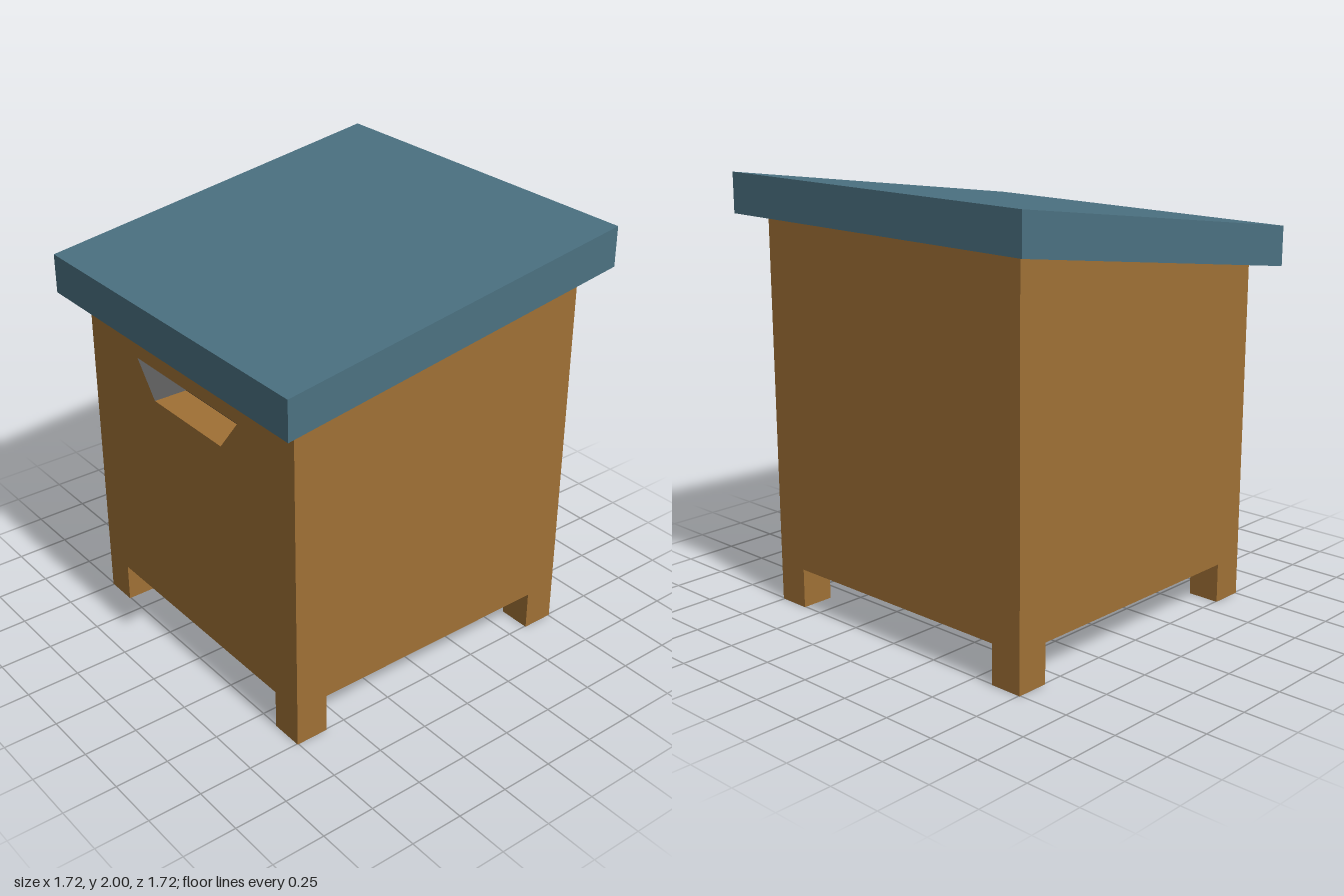
import * as THREE from 'three';

const SLOPE = 0.1453;     // roof rise towards the back
const HALF = 0.755;       // half width of the body
const FLOOR = 0.185;      // underside of the body
const EAVE = 1.6925;      // roof underside at z = 0
const LEG = 0.155;

function material(name, color) {
  const m = new THREE.MeshStandardMaterial({ color });
  m.name = name;
  return m;
}

function mesh(name, geometry, mat, parent) {
  const m = new THREE.Mesh(geometry, mat);
  m.name = name;
  parent.add(m);
  return m;
}

// Flat four-cornered face, corners counter-clockwise seen from its front
function quad(a, b, c, d) {
  const g = new THREE.BufferGeometry();
  g.setAttribute('position', new THREE.Float32BufferAttribute([...a, ...b, ...c, ...d], 3));
  g.setIndex([0, 1, 2, 0, 2, 3]);
  g.computeVertexNormals();
  return g;
}

// Tilt the vertices above a height so they follow the roof slope
function tilt(geometry, above) {
  const p = geometry.attributes.position;
  for (let i = 0; i < p.count; i++) {
    if (p.getY(i) > above) p.setY(i, p.getY(i) - SLOPE * p.getZ(i));
  }
  geometry.computeVertexNormals();
  return geometry;
}

export function createModel() {
  const wood = material('wood', 0x9f7035);
  const blue = material('roof blue', 0x4b7181);
  const charcoal = material('charcoal', 0x353434);
  const model = new THREE.Group();
  model.name = 'hiveBox';

  // Body shell, with the front face (fifth of the box) left out
  const shell = new THREE.BoxGeometry(HALF * 2, EAVE - FLOOR, HALF * 2);
  shell.translate(0, (EAVE + FLOOR) / 2, 0);
  const index = Array.from(shell.index.array);
  index.splice(24, 6);
  shell.setIndex(index);
  shell.clearGroups();
  mesh('body', tilt(shell, 1), wood, model);

  // Front panel with the trapezoid opening
  const opening = [[-0.375, 1.4], [-0.25, 1.24], [0.25, 1.24], [0.375, 1.4]];
  const top = EAVE - SLOPE * HALF;
  const panel = new THREE.Shape([[-HALF, FLOOR], [HALF, FLOOR], [HALF, top], [-HALF, top]]
    .map(([x, y]) => new THREE.Vector2(x, y)));
  panel.holes.push(new THREE.Path(opening.map(([x, y]) => new THREE.Vector2(x, y))));
  mesh('frontPanel', new THREE.ShapeGeometry(panel).translate(0, 0, HALF), wood, model);

  // Recess behind the opening: wooden sill, dark sides, ceiling and back
  const recess = new THREE.Group();
  recess.name = 'entrance';
  model.add(recess);
  const back = HALF - 0.16;
  const names = ['entranceLeftSide', 'entranceSill', 'entranceRightSide', 'entranceCeiling'];
  names[0] = 'entranceRightSide';
  names[2] = 'entranceLeftSide';
  opening.forEach(([x, y], i) => {
    const [u, v] = opening[(i + 1) % 4];
    const face = quad([x, y, HALF], [u, v, HALF], [u, v, back], [x, y, back]);
    mesh(names[i], face, i === 1 ? wood : charcoal, recess);
  });
  mesh('entranceBack', quad(...opening.map(([x, y]) => [x, y, back])), charcoal, recess);

  // Four corner legs
  for (const sx of [-1, 1]) {
    for (const sz of [-1, 1]) {
      const leg = mesh('leg', new THREE.BoxGeometry(LEG, FLOOR, LEG), wood, model);
      leg.position.set(sx * (HALF - LEG / 2), FLOOR / 2, sz * (HALF - LEG / 2));
    }
  }

  // Sloping lid with a wooden underside (fourth face of the box)
  const lid = new THREE.BoxGeometry(1.72, 0.1825, 1.72).translate(0, EAVE + 0.09125, 0);
  mesh('roof', tilt(lid, 0), [blue, blue, blue, wood, blue, blue], model);

  return model;
}
